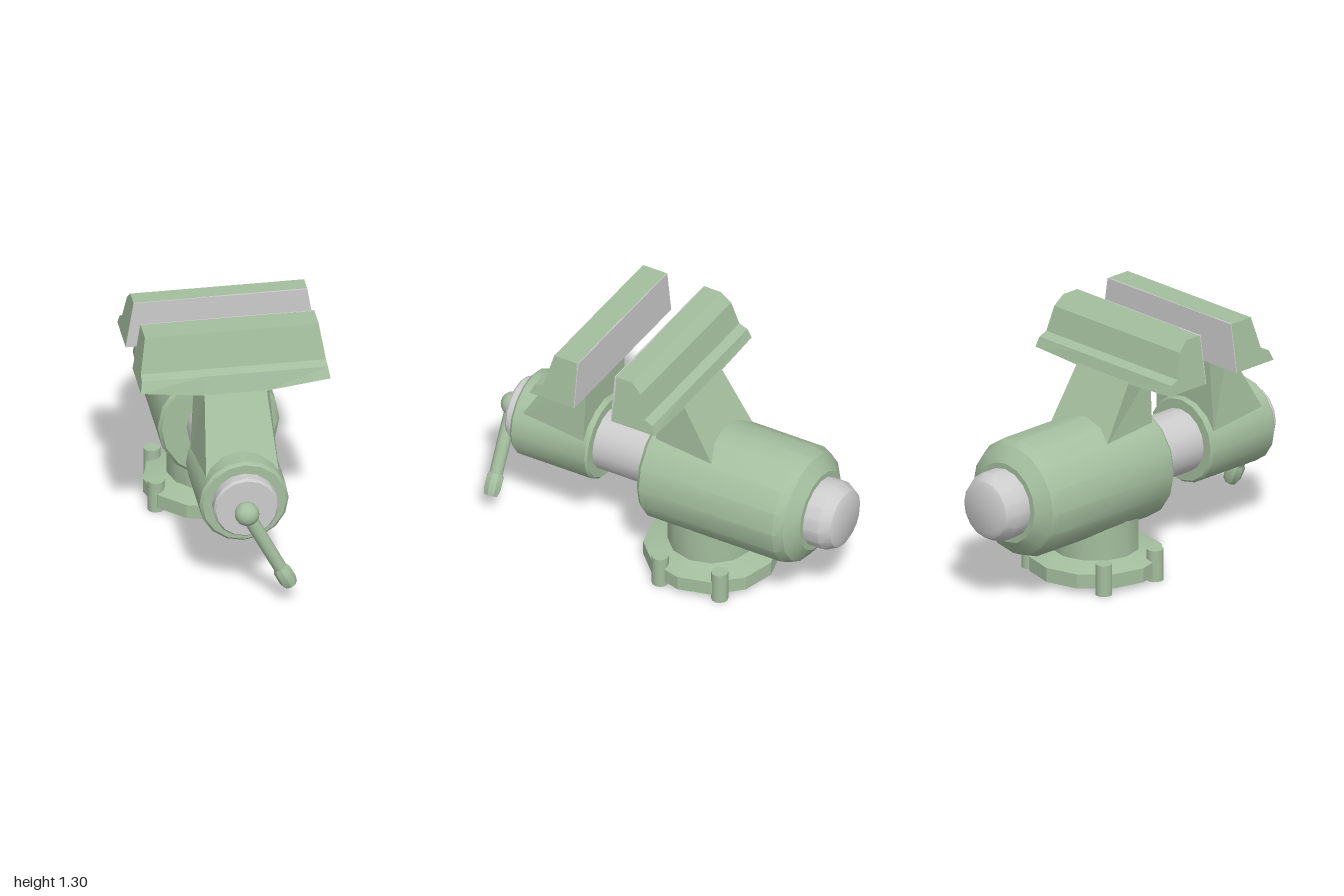
import * as THREE from 'three';
import { toCreasedNormals } from 'three/addons/utils/BufferGeometryUtils.js';

const green = new THREE.MeshStandardMaterial({ color: 0xa4be9e });
const steel = new THREE.MeshStandardMaterial({ color: 0xcccccc });
const AXIS_Y = 0.535;

export function createModel() {
  const model = new THREE.Group();

  const add = (name, geometry, material, parent = model) => {
    const mesh = new THREE.Mesh(geometry, material);
    mesh.name = name;
    parent.add(mesh);
    return mesh;
  };

  // Turned part: profile is [radius, height] from bottom to top
  const turned = (profile, sides, crease = 0.5) =>
    toCreasedNormals(new THREE.LatheGeometry(profile.map(([r, y]) => new THREE.Vector2(r, y)), sides), crease);

  // Turned part lying along z on the screw axis, profile from back to front
  const barrel = (name, profile, material) => {
    const mesh = add(name, turned(profile, 16).rotateX(Math.PI / 2), material);
    mesh.position.y = AXIS_Y;
  };

  // Move every vertex by a rule, then refresh flat normals
  const reshape = (geometry, rule) => {
    const g = geometry.index ? geometry.toNonIndexed() : geometry;
    const p = g.attributes.position;
    const v = new THREE.Vector3();
    for (let i = 0; i < p.count; i++) {
      rule(v.fromBufferAttribute(p, i));
      p.setXYZ(i, v.x, v.y, v.z);
    }
    g.computeVertexNormals();
    return g;
  };
  const taper = (v) => { v.x *= 1 - 0.083 * (v.y - 1.05) / 0.25; };

  // Barrels and screw
  barrel('rearBody', [[0, -0.845], [0.21, -0.845], [0.285, -0.79], [0.308, -0.74],
    [0.308, 0.03], [0.29, 0.05], [0, 0.05]], green);
  barrel('frontSleeve', [[0, 0.38], [0.215, 0.38], [0.226, 0.392], [0.226, 0.815], [0.212, 0.83], [0, 0.83]], green);
  barrel('slideShaft', [[0, -0.1], [0.165, -0.1], [0.165, 0.88], [0.155, 0.893], [0, 0.893]], steel);
  barrel('rearCap', [[0, -1], [0.12, -1], [0.15, -0.985], [0.18, -0.93], [0.18, -0.8], [0, -0.8]], steel);

  // Jaw bar: profile [z, y] swept along x, narrowing upwards, underside dropping to the arm
  const jaw = (name, profile, drop, faceZ, facing) => {
    const shape = new THREE.Shape(profile.map(([z, y]) => new THREE.Vector2(-z, y)));
    const bar = new THREE.ExtrudeGeometry(shape, { depth: 0.96, steps: 3, bevelEnabled: false })
      .translate(0, 0, -0.48).rotateY(Math.PI / 2);
    add(name, reshape(bar, (v) => {
      taper(v);
      if (v.y < 1.06 && Math.abs(v.x) < 0.2 && Math.abs(v.z - faceZ) > 0.03) v.y -= drop;
    }), green);
    const plate = new THREE.BoxGeometry(0.96, 0.25, 0.01).translate(0, 1.175, faceZ - facing * 0.005);
    add(name + 'Plate', reshape(plate, taper), steel);
  };
  jaw('frontJaw', [[0.305, 1.3], [0.44, 1.3], [0.487, 1.12], [0.535, 1.105], [0.56, 1.05],
    [0.4, 1.05], [0.305, 1.05]], 0.04, 0.3, -1);
  jaw('rearJaw', [[0.085, 1.3], [-0.01, 1.3], [-0.065, 1.25], [-0.1, 1.12], [-0.145, 1.1],
    [-0.165, 1.05], [0.015, 1.05], [0.085, 1.05]], 0.015, 0.09, 1);

  // Jaw arm: a block whose corners are given as [half width, z]
  const arm = (name, top, bottom) => add(name, reshape(new THREE.BoxGeometry(1, 1, 1), (v) => {
    const level = v.y > 0 ? top : bottom;
    const [half, z] = v.z > 0 ? level.front : level.back;
    v.set(Math.sign(v.x) * half, level.y, z);
  }), green);
  arm('frontArm', { y: 1.02, front: [0.157, 0.555], back: [0.185, 0.4] },
    { y: 0.62, front: [0.187, 0.79], back: [0.205, 0.41] });
  arm('rearArm', { y: 1.045, front: [0.157, 0.015], back: [0.185, -0.162] },
    { y: 0.74, front: [0.18, 0.005], back: [0.205, -0.345] });

  // Swivel base, hollow underneath
  const base = new THREE.Group();
  base.name = 'base';
  base.position.z = -0.215;
  model.add(base);
  add('baseFlange', turned([[0, 0.1], [0.25, 0.1], [0.275, 0.03], [0.343, 0.03], [0.343, 0.105], [0.22, 0.135]], 12),
    green, base);
  add('baseNeck', turned([[0.223, 0.12], [0.223, 0.4], [0, 0.4]], 12, 0.6), green, base);
  for (const side of [-1, 1]) {
    for (const [x, z] of [[0.298, 0.125], [0.265, -0.2]]) {
      const bolt = new THREE.CylinderGeometry(0.043, 0.043, 0.165, 12);
      add('baseBolt', bolt, green, base).position.set(side * x, 0.0825, z);
    }
  }

  // Turning handle hanging from the screw end
  const handle = new THREE.Group();
  handle.name = 'handle';
  handle.position.set(-0.005, 0.53, 0.938);
  handle.rotation.z = Math.atan2(0.22, 0.425);
  model.add(handle);
  add('handleBall', new THREE.SphereGeometry(0.062, 16, 12), green, handle);
  add('handleRod', new THREE.CylinderGeometry(0.036, 0.034, 0.4, 12).translate(0, -0.2, 0), green, handle);
  add('handleGrip', turned([[0, -0.479], [0.036, -0.479], [0.045, -0.45], [0.045, -0.385], [0.034, -0.36]], 8, 0.4),
    green, handle);

  return model;
}
